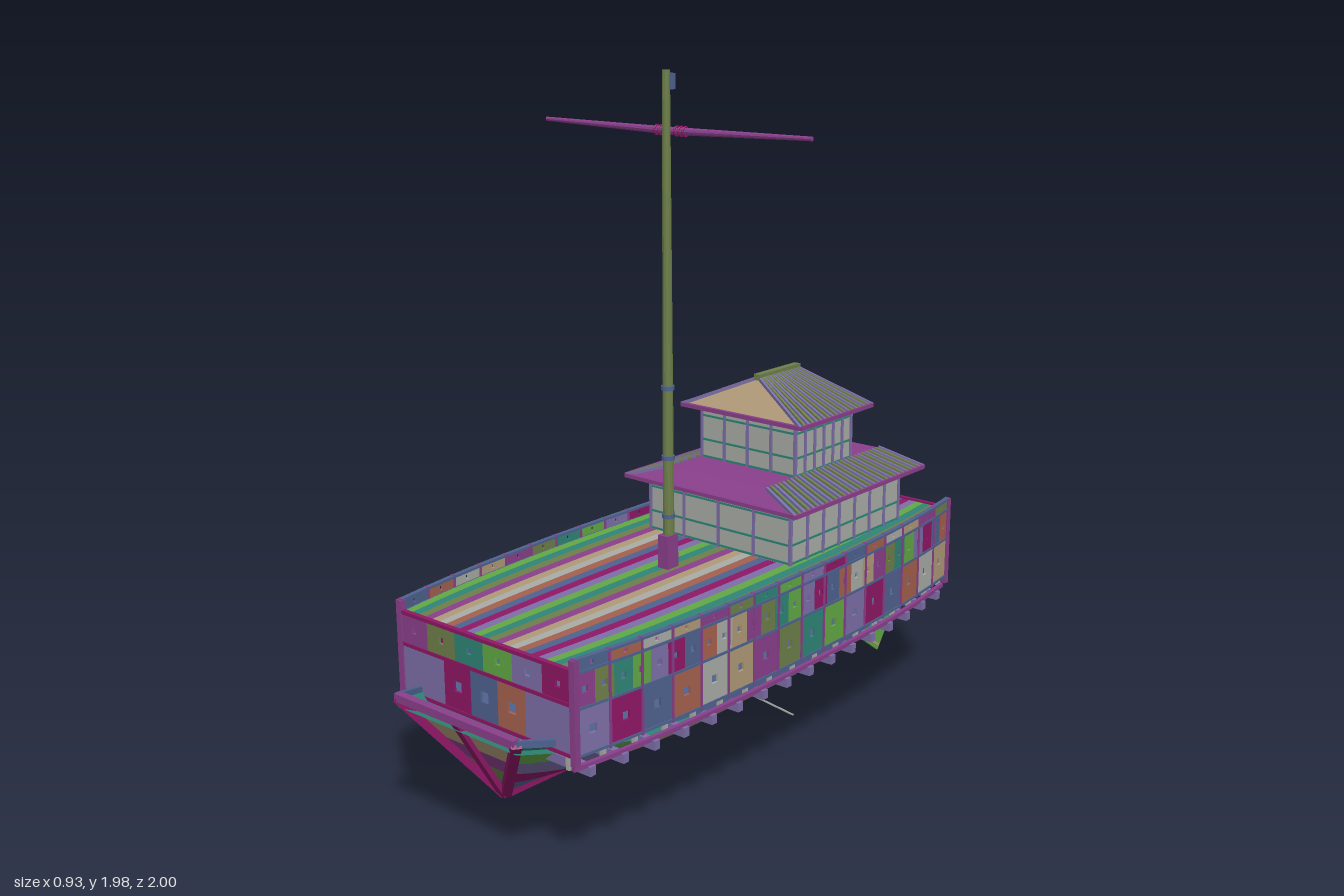
import * as THREE from 'three';

const palette = [0x8a3f8c, 0x62a845, 0x4f6390, 0xb09a78, 0x2f8577, 0x8f1766, 0xa9aca6, 0x6e7f4a, 0x7d6fa8, 0xa5614e];
const mats = palette.map(color => new THREE.MeshStandardMaterial({ color, flatShading: true, side: THREE.DoubleSide }));
const PURPLE = 0, SLATE = 2, TAN = 3, TEAL = 4, PLUM = 5, GREY = 6, OLIVE = 7, MAUVE = 8;
const mat = i => mats[((i % mats.length) + mats.length) % mats.length];
const lerp = THREE.MathUtils.lerp;
const V = (x, y, z) => new THREE.Vector3(x, y, z);

export function createModel() {
  const root = new THREE.Group();
  const group = name => { const g = new THREE.Group(); g.name = name; root.add(g); return g; };
  const put = (parent, name, geo, m) => {
    const mesh = new THREE.Mesh(geo, mat(m));
    mesh.name = name;
    parent.add(mesh);
    return mesh;
  };
  const box = (parent, name, m, x, y, z, w, h, d) => {
    const b = put(parent, name, new THREE.BoxGeometry(w, h, d), m);
    b.position.set(x, y, z);
    return b;
  };
  // Straight timber from a to b
  const beam = (parent, name, m, a, b, w, h = w) => {
    const t = put(parent, name, new THREE.BoxGeometry(w, h, a.distanceTo(b)), m);
    t.position.copy(a).add(b).multiplyScalar(0.5);
    t.lookAt(b);
    return t;
  };
  // Ruled strip between two curves, sampled from t0 to t1
  const strip = (parent, name, m, A, B, n = 1, t0 = 0, t1 = 1) => {
    const p = [];
    for (let i = 0; i < n; i++) {
      const u = lerp(t0, t1, i / n), v = lerp(t0, t1, (i + 1) / n);
      const a = A(u), b = B(u), c = B(v), d = A(v);
      for (const q of [a, b, c, a, c, d]) p.push(q.x, q.y, q.z);
    }
    const geo = new THREE.BufferGeometry();
    geo.setAttribute('position', new THREE.Float32BufferAttribute(p, 3));
    geo.computeVertexNormals();
    return put(parent, name, geo, m);
  };

  // Hull: V-shaped raked ends blending into a rounder middle section
  const fx = [0, 0.18, 0.48, 0.72, 0.9, 1], fy = [0, 0.05, 0.24, 0.56, 0.83, 1];
  const hullPoint = (t, k, side) => {
    const u = Math.abs(2 * t - 1), e = u ** 4;
    const h = lerp(fy[k], k / 5, e);
    const keel = 0.13 + 0.02 * (1 - t) ** 3;
    const sheer = 0.338 + 0.08 * u ** 3;
    const w = 0.22 + 0.115 * (1 - u ** 2.5);
    return V(side * w * lerp(fx[k], k / 5, e), lerp(keel, sheer, h),
      lerp(lerp(0.82, -0.73, t), lerp(0.985, -0.9, t), h));
  };
  const hull = group('hull');
  for (const side of [-1, 1]) {
    for (let k = 0; k < 5; k++) {
      const cuts = [0, 0.22 + 0.06 * (k % 2), 0.68 - 0.07 * (k % 3), 1];
      for (let j = 0; j < 3; j++)
        strip(hull, 'hullStrake', k * 3 + j * 5 + 2, t => hullPoint(t, k, side), t => hullPoint(t, k + 1, side), 8, cuts[j], cuts[j + 1]);
    }
    for (let i = 0; i < 24; i++)
      beam(hull, 'gunwale', SLATE, hullPoint(i / 24, 5, side), hullPoint((i + 1) / 24, 5, side), 0.014, 0.018);
    for (const t of [0, 1])
      beam(hull, 'raking' + (t ? 'Stern' : 'Bow') + 'Beam', PLUM, hullPoint(t, 0, side), hullPoint(t, 5, side), 0.026);
  }
  for (const t of [0, 1]) {
    for (let k = 0; k < 5; k++)
      strip(hull, 'transomPlank', TEAL + k * 3, s => hullPoint(t, k, s * 2 - 1 < 0 ? -1 : 1), s => hullPoint(t, k + 1, s * 2 - 1 < 0 ? -1 : 1));
    beam(hull, 'transomRail', PURPLE, hullPoint(t, 5, -1), hullPoint(t, 5, 1), 0.022);
  }
  const inner = side => t => hullPoint(t, 5, side).add(V(0, -0.03, 0));
  strip(hull, 'lowerDeck', TEAL, inner(-1), inner(1), 20);
  beam(hull, 'keel', PLUM, V(0, 0.15, 0.82), V(0, 0.132, 0.1), 0.02);
  beam(hull, 'keel', PLUM, V(0, 0.132, 0.1), V(0, 0.13, -0.73), 0.02);
  beam(hull, 'stem', PLUM, V(0, 0.15, 0.825), V(0, 0.42, 0.985), 0.024);
  beam(hull, 'sideSpar', GREY, V(0.22, 0.222, 0.05), V(0.36, 0.205, 0.05), 0.004);

  // Walled upper deck: plan outline
  const Z0 = 0.88, Z1 = -0.8;
  const halfWidth = z => 0.372 - 0.055 * Math.abs((z - 0.04) / 0.84) ** 2.5;
  const edge = (n, side) => Array.from({ length: n + 1 }, (_, i) => {
    const z = lerp(Z0, Z1, i / n);
    return V(side * halfWidth(z), 0, z);
  });

  // Row of wall panels, each with a square port
  const panelRow = (parent, name, pts, y0, y1, hole, first = 0) => {
    for (let i = first; i < pts.length - 1 - first; i++) {
      const a = pts[i], b = pts[i + 1], len = a.distanceTo(b), h = y1 - y0, r = hole / 2;
      const s = new THREE.Shape([[-len / 2, -h / 2], [len / 2, -h / 2], [len / 2, h / 2], [-len / 2, h / 2]].map(p => new THREE.Vector2(...p)));
      if (r) s.holes.push(new THREE.Path([[-r, -r], [-r, r], [r, r], [r, -r]].map(p => new THREE.Vector2(...p))));
      const geo = new THREE.ExtrudeGeometry(s, { depth: 0.008, bevelEnabled: false }).translate(0, 0, -0.004);
      const p = put(parent, name, geo, i * 7 + Math.round(y0 * 20));
      p.position.set((a.x + b.x) / 2, (y0 + y1) / 2, (a.z + b.z) / 2);
      p.rotation.y = Math.atan2(a.z - b.z, b.x - a.x);
    }
  };
  const at = (p, y) => V(p.x, y, p.z);
  const walls = group('upperWalls');
  for (const side of [-1, 1]) {
    const pts = edge(16, side);
    panelRow(walls, 'lowerSidePanel', pts, 0.375, 0.5, 0.024);
    panelRow(walls, 'upperSidePanel', edge(28, side), 0.5, 0.595, 0.018);
    panelRow(walls, 'parapetPanel', pts, 0.595, 0.63, 0.012);
    pts.forEach((p, i) => {
      box(walls, 'wallPost', PURPLE, p.x, 0.5, p.z, 0.014, 0.265, 0.007);
      box(walls, 'stilt', GREY, p.x * 0.93, 0.357, p.z, 0.012, 0.045, 0.012);
      if (i < 16) for (const y of [0.375, 0.5, 0.595, 0.628])
        beam(walls, 'wallRail', SLATE, at(p, y), at(pts[i + 1], y), 0.014, 0.007);
      if (i < 16) beam(walls, 'sillBeam', PURPLE, at(p, 0.338).setX(p.x * 0.97), at(pts[i + 1], 0.338).setX(pts[i + 1].x * 0.97), 0.012);
    });
  }
  for (const z of [Z0, Z1]) {
    const w = halfWidth(z);
    const row = xs => xs.map(x => V(x, 0, z));
    const low = row([-w, -0.15, -0.05, 0.05, 0.15, w]);
    panelRow(walls, 'lowerEndPanel', low, 0.375, 0.51, 0.03, 1);
    for (const s of [0, 4]) panelRow(walls, 'lowerEndSidePanel', [low[s], low[s + 1]], 0.375, 0.51, 0);
    panelRow(walls, 'upperEndPanel', row([-3, -2, -1, 0, 1, 2, 3].map(i => i * w / 3)), 0.51, 0.6, 0.018);
    for (const y of [0.375, 0.51, 0.598]) box(walls, 'endRail', PLUM, 0, y, z, w * 2, 0.01, 0.014);
    for (const s of [-1, 1]) box(walls, 'cornerPost', PURPLE, s * w, 0.49, z, 0.018, 0.28, 0.018);
  }
  // Cross beams jutting out over the gunwales
  for (let i = 0; i < 16; i++) {
    const z = lerp(Z0 - 0.05, Z1 + 0.05, i / 15);
    box(walls, 'crossBeam', MAUVE, 0, 0.322, z, halfWidth(z) * 2.02, 0.026, 0.02);
  }

  // Long deck planks that follow the curved sides, with a plain floor below
  const deck = group('deck');
  const deckCurve = (f, y) => t => { const z = lerp(Z0, Z1, t); return V(f * (halfWidth(z) - 0.006), y, z); };
  const planks = 24;
  for (let i = 0; i < planks; i++) {
    const a = -1 + 2 * i / planks, b = a + 2 / planks;
    strip(deck, 'deckPlank', i * 3 + 1, deckCurve(a, 0.598), deckCurve(b, 0.598), 14);
  }
  strip(deck, 'underFloor', SLATE, deckCurve(-1, 0.374), deckCurve(1, 0.374), 14);

  // Cabin storey: walls with posts and rails
  const cabin = (name, x, z0, z1, y0, y1, nx, nz) => {
    const g = group(name), h = y1 - y0, ym = (y0 + y1) / 2, zm = (z0 + z1) / 2;
    box(g, 'cabinWall', GREY, 0, ym, zm, x * 2, h, z0 - z1);
    for (let i = 0; i <= nx; i++) for (const z of [z0, z1])
      box(g, 'endStud', MAUVE, lerp(-x, x, i / nx), ym, z, 0.009, h, 0.009);
    for (let i = 0; i <= nz; i++) for (const s of [-x, x])
      box(g, 'sideStud', MAUVE, s, ym, lerp(z0, z1, i / nz), 0.009, h, 0.009);
    for (const f of [0.03, 0.35, 0.8])
      box(g, 'cabinRail', TEAL, 0, lerp(y0, y1, f), zm, x * 2 + 0.006, 0.006, z0 - z1 + 0.006);
  };
  // Hipped roof from an eave rectangle to a top rectangle, ribs on the side slopes
  const roof = (name, e, top, ribs, endMat) => {
    const g = group(name);
    const c = (r, sx, i) => V(sx * r.x, r.y, r.z[i]);
    for (const s of [-1, 1]) {
      const low = t => c(e, s, 0).lerp(c(e, s, 1), t), high = t => c(top, s, 0).lerp(c(top, s, 1), t);
      strip(g, 'sideSlope', SLATE, low, high);
      for (let i = 0; i <= ribs; i++)
        beam(g, 'roofRib', i % 2 ? OLIVE : MAUVE, low(i / ribs), high(i / ribs), 0.008, 0.012);
      beam(g, 'sideEave', PURPLE, low(0), low(1), 0.012);
    }
    for (const i of [0, 1]) {
      strip(g, 'endSlope', endMat, t => c(e, 2 * t - 1, i), t => c(top, 2 * t - 1, i));
      beam(g, 'endEave', PURPLE, c(e, -1, i), c(e, 1, i), 0.012);
    }
    strip(g, 'soffit', TAN, t => c(e, 2 * t - 1, 0), t => c(e, 2 * t - 1, 1));
    strip(g, 'roofTop', PURPLE, t => c(top, 2 * t - 1, 0), t => c(top, 2 * t - 1, 1));
    return g;
  };
  cabin('lowerCabin', 0.263, -0.055, -0.6, 0.598, 0.768, 4, 7);
  roof('lowerRoof', { x: 0.318, y: 0.768, z: [-0.003, -0.652] }, { x: 0.18, y: 0.812, z: [-0.05, -0.61] }, 30, PURPLE);
  cabin('upperCabin', 0.175, -0.19, -0.465, 0.81, 0.975, 4, 6);
  const upper = roof('upperRoof', { x: 0.222, y: 0.975, z: [-0.15, -0.508] }, { x: 0.008, y: 1.07, z: [-0.235, -0.425] }, 18, TAN);
  box(upper, 'ridge', OLIVE, 0, 1.076, -0.33, 0.022, 0.018, 0.2);

  // Mast, its step, yard and head block
  const mast = group('mast');
  const pole = put(mast, 'mastPole', new THREE.CylinderGeometry(0.011, 0.017, 1.38, 12), OLIVE);
  pole.position.set(0, 1.29, 0.167);
  box(mast, 'mastStep', PURPLE, 0, 0.645, 0.17, 0.036, 0.1, 0.046);
  box(mast, 'headBlock', SLATE, 0, 1.95, 0.153, 0.022, 0.042, 0.024);
  for (const y of [0.75, 0.92, 1.12]) {
    put(mast, 'mastBand', new THREE.CylinderGeometry(0.019, 0.019, 0.012, 12), SLATE).position.set(0, y, 0.167);
  }
  for (const s of [-1, 1]) {
    const yard = put(mast, 'yardArm', new THREE.CylinderGeometry(0.006, 0.011, 0.465, 10), PURPLE);
    yard.position.set(s * 0.2325, 1.823, 0.147);
    yard.rotation.z = -s * (Math.PI / 2 - 0.015);
    for (const x of [0.02, 0.035, 0.05]) {
      const lash = put(mast, 'yardLashing', new THREE.TorusGeometry(0.0125, 0.003, 6, 12), PLUM);
      lash.position.set(s * x, 1.82, 0.147);
      lash.rotation.y = Math.PI / 2;
    }
  }

  // Rudder: raked post, blade and tiller
  const rudder = group('rudder');
  beam(rudder, 'rudderPost', PURPLE, V(0, 0.115, -0.74), V(0, 0.42, -0.92), 0.022);
  const blade = new THREE.Shape([[0.74, 0.12], [0.9, 0.003], [0.998, 0.14], [0.835, 0.26]].map(p => new THREE.Vector2(...p)));
  const bladeGeo = new THREE.ExtrudeGeometry(blade, { depth: 0.01, bevelEnabled: false }).translate(0, 0, -0.005).rotateY(Math.PI / 2);
  put(rudder, 'rudderBlade', bladeGeo, 1);
  for (const f of [0.08, 0.5, 0.92])
    beam(rudder, 'bladeBatten', TAN, V(0, lerp(0.12, 0.26, f), -lerp(0.74, 0.835, f)), V(0, lerp(0.01, 0.14, f), -lerp(0.895, 0.99, f)), 0.016, 0.01);
  beam(rudder, 'tiller', OLIVE, V(0, 0.41, -0.92), V(0, 0.48, -0.79), 0.01);
  return root;
}
